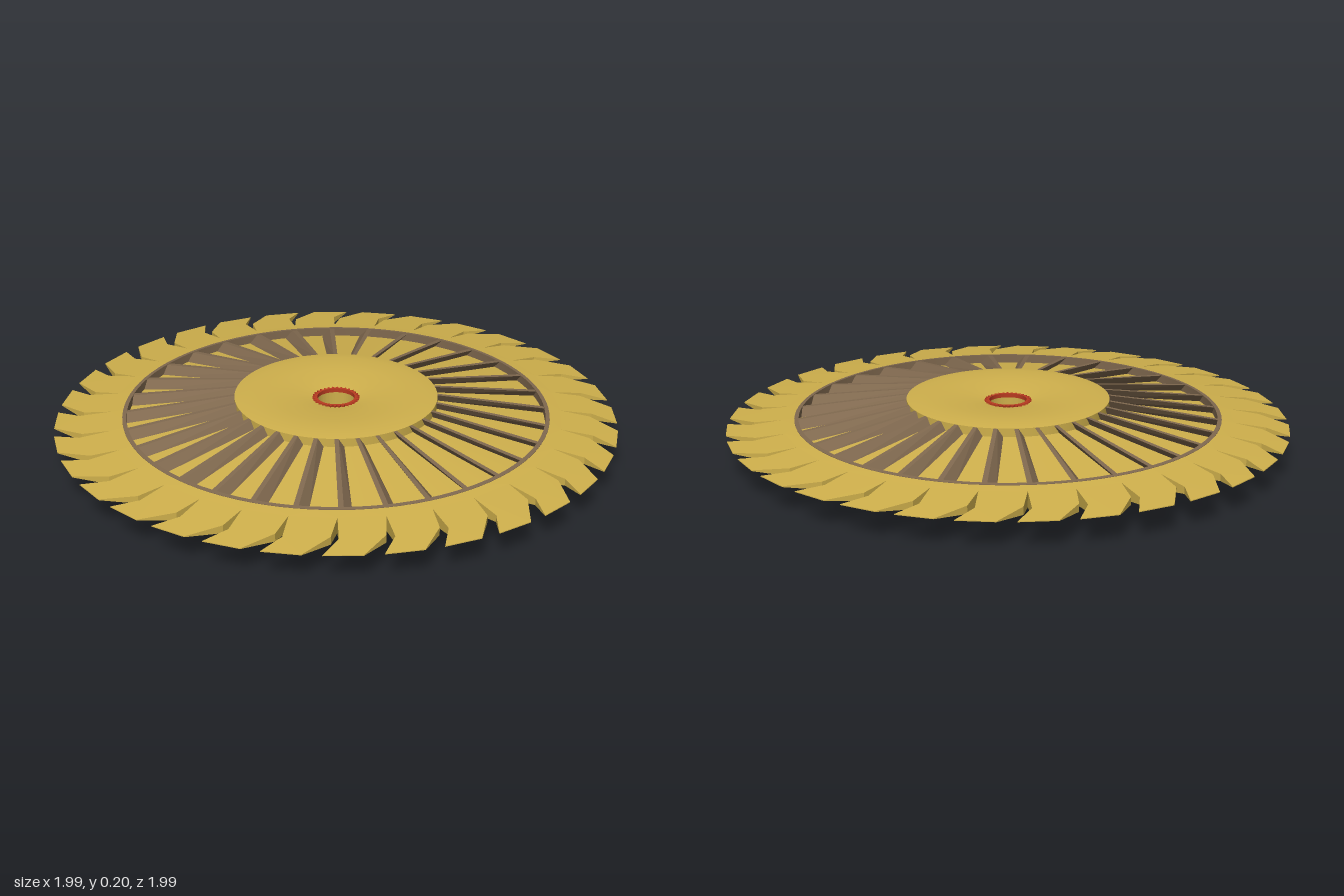
import * as THREE from 'three';
import { toCreasedNormals } from 'three/addons/utils/BufferGeometryUtils.js';

const COUNT = 32, STEP = Math.PI * 2 / COUNT, MID = 0.103;
const gold = new THREE.MeshStandardMaterial({ name: 'gold', color: 0xcfb04c });
const bronze = new THREE.MeshStandardMaterial({ name: 'bronze', color: 0x80694f });
const red = new THREE.MeshStandardMaterial({ name: 'red', color: 0xb83a20 });

// Half thickness of the lens-shaped wheel at radius r
function half(r) {
  if (r > 0.755) return THREE.MathUtils.mapLinear(r, 0.755, 1, 0.033, 0.001);
  return THREE.MathUtils.mapLinear(r, 0.31, 0.755, 0.1, 0.033);
}

function add(parent, geometry, material, name) {
  const mesh = new THREE.Mesh(geometry, material);
  mesh.name = name;
  parent.add(mesh);
  return mesh;
}

// Lathe of an upper profile (outer to inner), mirrored below the middle
function wheel(upper) {
  const v = (r, y) => new THREE.Vector2(r, y);
  const lower = upper.map(([r, y]) => v(r, -y)).reverse();
  const pts = [...lower, ...upper.map(([r, y]) => v(r, y)), lower[0].clone()];
  return toCreasedNormals(new THREE.LatheGeometry(pts, 96), 0.45);
}

// One swept tooth; bearings run clockwise from the back
function toothGeometry() {
  const edge = [[0.755, -0.054], [0.8, -0.054]];
  const pts = [...edge, [0.9, -0.03], [0.997, 0.06],
    [0.997, STEP - 0.005], [0.912, STEP - 0.058],
    [0.8, STEP - 0.054], [0.755, STEP - 0.054], [0.755, STEP / 2 - 0.054]];
  const shape = new THREE.Shape(pts.map(([r, a]) =>
    new THREE.Vector2(r * Math.sin(a), r * Math.cos(a))));
  const g = new THREE.ExtrudeGeometry(shape, { depth: 1, bevelEnabled: false });
  g.rotateX(-Math.PI / 2);
  const p = g.attributes.position;
  for (let i = 0; i < p.count; i++) {
    const h = half(Math.hypot(p.getX(i), p.getZ(i)));
    p.setY(i, p.getY(i) > 0.5 ? h : -h);
  }
  g.computeVertexNormals();
  return g;
}

// Leaning vane following the slope of the wheel; side = 1 above, -1 below
function vaneGeometry(side) {
  const g = new THREE.BoxGeometry(1, 1, 1).toNonIndexed();
  const p = g.attributes.position;
  for (let i = 0; i < p.count; i++) {
    const outer = p.getZ(i) < 0;
    const outside = p.getY(i) * side > 0;
    const r = outer ? 0.745 : 0.355;
    const lean = outer ? 0.016 : 0.011;
    const thick = outer ? 0.018 : 0.014;
    p.setXYZ(i,
      0.005 + (outside ? lean : -lean) + Math.sign(p.getX(i)) * thick / 2,
      side * (half(r) - (outside ? 0.001 : 0.034)),
      -r);
  }
  g.computeVertexNormals();
  return g;
}

// Small toothed ring around the bore
function collarGeometry() {
  const shape = new THREE.Shape();
  for (let i = 0; i < 64; i++) {
    const a = i * Math.PI / 32, r = i % 2 ? 0.073 : 0.084;
    shape[i ? 'lineTo' : 'moveTo'](r * Math.cos(a), r * Math.sin(a));
  }
  shape.closePath();
  shape.holes.push(new THREE.Path().absarc(0, 0, 0.066, 0, Math.PI * 2, true));
  const g = new THREE.ExtrudeGeometry(shape, { depth: 0.014, bevelEnabled: false, curveSegments: 32 });
  return g.translate(0, 0, -0.007).rotateX(-Math.PI / 2);
}

export function createModel() {
  const model = new THREE.Group();
  model.name = 'toothedWheel';
  const body = new THREE.Group();
  body.name = 'wheelBody';
  body.position.y = MID;
  model.add(body);

  // Dished hub with bore, and the recessed web behind the vanes
  add(body, wheel([[0.36, half(0.36)], [0.31, 0.1], [0.22, 0.096],
    [0.15, 0.09], [0.1, 0.083], [0.07, 0.077]]), gold, 'hub');
  add(body, wheel([[0.75, half(0.75) - 0.03], [0.35, half(0.35) - 0.03]]), gold, 'web');

  // Rim band around the vanes
  add(body, wheel([[0.757, half(0.755) + 0.001], [0.742, half(0.742) + 0.001]]), bronze, 'rimBand');

  // Teeth and vanes
  const tooth = toothGeometry();
  const vanes = [vaneGeometry(1), vaneGeometry(-1)];
  for (let i = 0; i < COUNT; i++) {
    add(body, tooth, gold, 'tooth').rotation.y = -i * STEP;
    vanes.forEach((g, k) => {
      add(body, g, bronze, k ? 'lowerVane' : 'upperVane').rotation.y = -(i + 0.5) * STEP;
    });
  }

  // Bore collars on both faces
  const collar = collarGeometry();
  for (const s of [1, -1]) add(body, collar, red, 'boreCollar').position.y = s * 0.078;

  return model;
}
